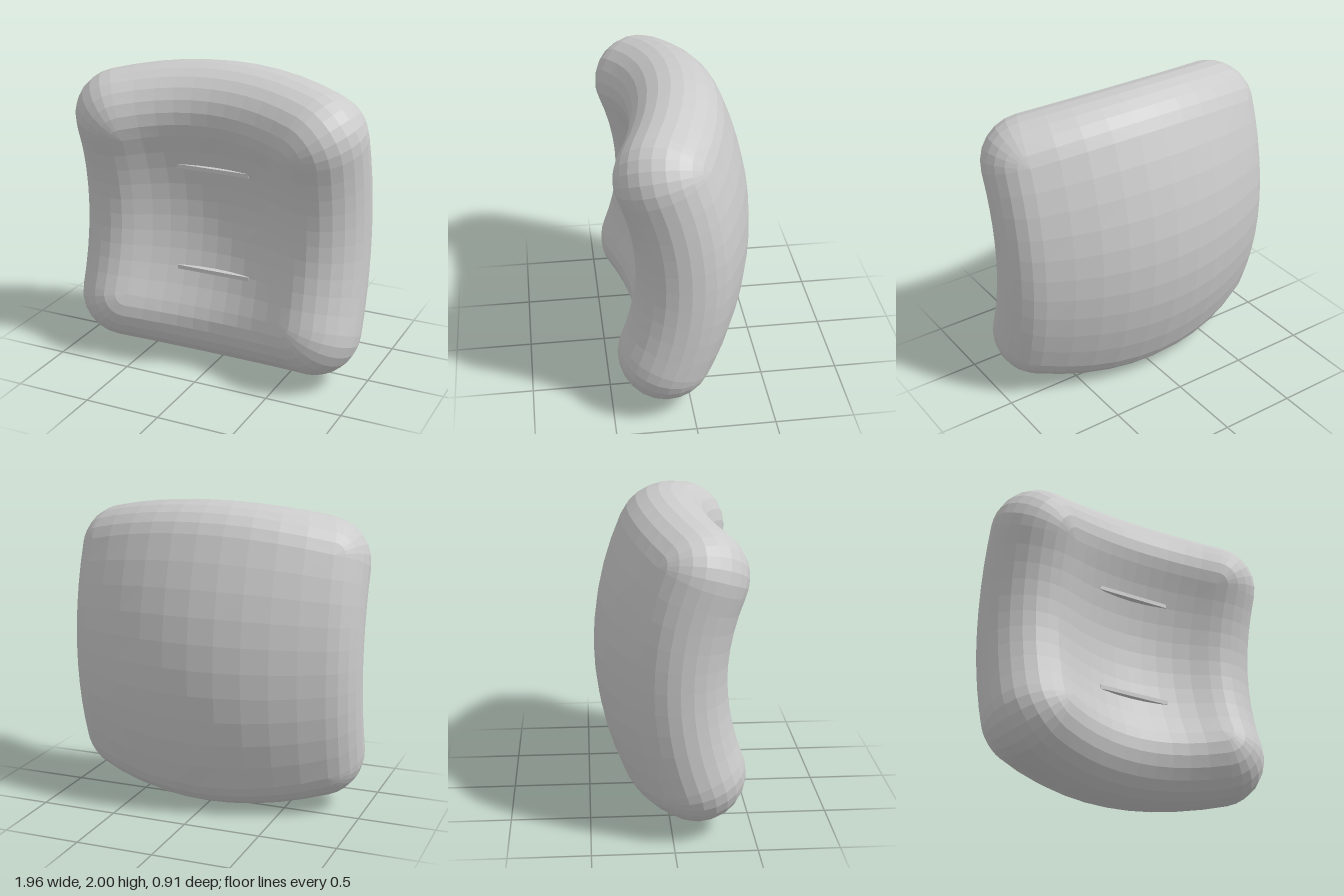
import * as THREE from 'three';

const R = 0.3;          // half thickness and rim radius
const N = 10;           // divisions across the pad
const RIM = 12;         // divisions around the rim
const CORNER = 6;       // divisions around each corner

// Dished middle surface: u and v run from -1 to 1
function mid(u, v) {
  const x = 0.68 * u;
  const h = v * (0.7 - 0.08 * u * u);
  return new THREE.Vector3(x, 1 + h, -0.155 + 0.19 * u * u + 0.155 * (h / 0.7) ** 2);
}

function normal(u, v) {
  const p = mid(u, v);
  return new THREE.Vector3(-0.822 * p.x, -0.633 * (p.y - 1), 1).normalize();
}

const offset = (u, v, d) => mid(u, v).addScaledVector(normal(u, v), d);

function padGeometry() {
  const pos = [];
  const quad = (a, b, c, d) => [a, b, c, a, c, d].forEach((p) => pos.push(p.x, p.y, p.z));

  // Front and back faces
  const t = (i) => -1 + (2 * i) / N;
  for (let i = 0; i < N; i++) {
    for (let j = 0; j < N; j++) {
      const cell = [[i, j], [i + 1, j], [i + 1, j + 1], [i, j + 1]];
      const face = (d) => cell.map(([a, b]) => offset(t(a), t(b), d));
      quad(...face(R));
      quad(...face(-R).reverse());
    }
  }

  // Boundary stations, counter-clockwise, with an outward direction each
  const sides = [(s) => [s, -1], (s) => [1, s], (s) => [-s, 1], (s) => [-1, -s]];
  const outward = (side, s) => {
    const e = mid(...side(s + 0.001)).sub(mid(...side(s - 0.001)));
    return e.cross(normal(...side(s))).normalize();
  };
  const loop = [];
  sides.forEach((side, k) => {
    for (let i = 0; i <= N; i++) loop.push({ uv: side(t(i)), o: outward(side, t(i)) });
    const from = outward(side, 1);
    const to = outward(sides[(k + 1) % 4], -1);
    const angle = from.angleTo(to);
    for (let c = 1; c < CORNER; c++) {
      const f = c / CORNER;
      const o = from.clone().multiplyScalar(Math.sin((1 - f) * angle))
        .addScaledVector(to, Math.sin(f * angle)).normalize();
      loop.push({ uv: side(1), o });
    }
  });

  // Half-round rim
  const rim = ({ uv, o }, j) => {
    const a = (Math.PI * j) / RIM;
    return offset(...uv, R * Math.cos(a)).addScaledVector(o, R * Math.sin(a));
  };
  loop.forEach((a, k) => {
    const b = loop[(k + 1) % loop.length];
    for (let j = 0; j < RIM; j++) quad(rim(a, j), rim(a, j + 1), rim(b, j + 1), rim(b, j));
  });

  const g = new THREE.BufferGeometry();
  g.setAttribute('position', new THREE.Float32BufferAttribute(pos, 3));
  g.computeVertexNormals();
  return g;
}

export function createModel() {
  const group = new THREE.Group();
  const material = new THREE.MeshStandardMaterial({ color: 0xcccccc, flatShading: true });

  const pad = new THREE.Mesh(padGeometry(), material);
  pad.name = 'curvedPad';
  group.add(pad);

  // Two thin bars bridging the hollow of the front face
  [['upperBar', 1.35], ['lowerBar', 0.66]].forEach(([name, y]) => {
    const bar = new THREE.Mesh(new THREE.BoxGeometry(0.5, 0.026, 0.06), material);
    bar.name = name;
    bar.position.set(0, y, 0.2);
    group.add(bar);
  });
  return group;
}
